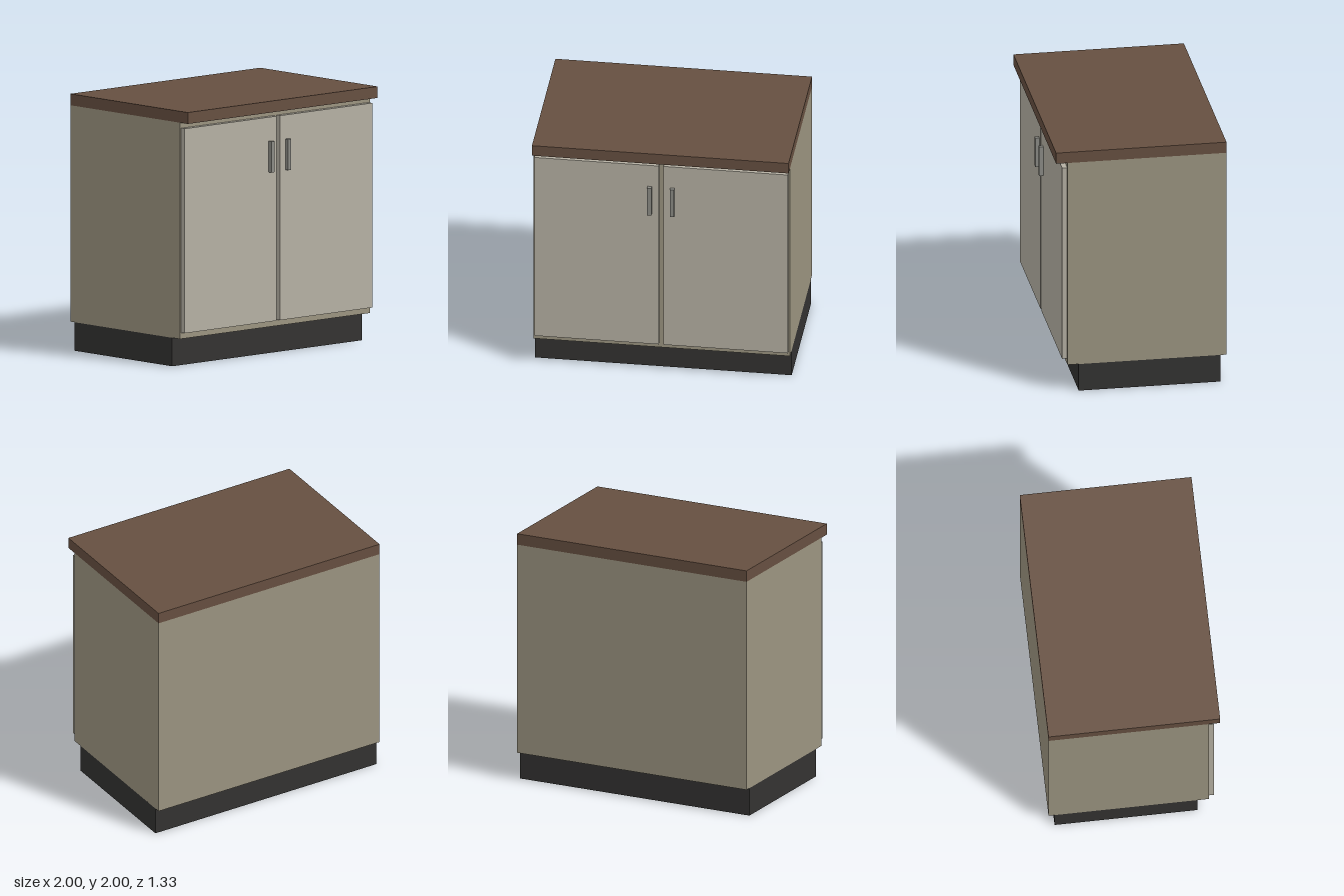
import * as THREE from 'three';

const material = (color) => new THREE.MeshStandardMaterial({ color });

// Box given by its [min, max] range on each axis
function box(name, [x0, x1], [y0, y1], [z0, z1], mat) {
  const mesh = new THREE.Mesh(new THREE.BoxGeometry(x1 - x0, y1 - y0, z1 - z0), mat);
  mesh.name = name;
  mesh.position.set((x0 + x1) / 2, (y0 + y1) / 2, (z0 + z1) / 2);
  return mesh;
}

export function createModel() {
  const group = new THREE.Group();
  group.name = 'baseCabinet';

  const wood = material(0x664f40);
  const carcass = material(0x9b9480);
  const panel = material(0xb5b0a3);
  const metal = material(0x8c8c86);
  const dark = material(0x333231);

  // Recessed plinth, carcass and overhanging worktop
  group.add(
    box('plinth', [-1, 1], [0, 0.222], [-0.62, 0.49], dark),
    box('carcass', [-1, 1], [0.222, 1.911], [-0.667, 0.578], carcass),
    box('worktop', [-1, 1], [1.911, 2], [-0.667, 0.667], wood)
  );

  // Mirrored pair of doors with bar handles near the middle
  for (const [side, s] of [['left', 1], ['right', -1]]) {
    const span = (a, b) => (s > 0 ? [a, b] : [-b, -a]);
    group.add(
      box(side + 'Door', span(0.018, 0.988), [0.27, 1.867], [0.578, 0.618], panel),
      box(side + 'Handle', span(0.072, 0.105), [1.438, 1.68], [0.618, 0.65], metal)
    );
  }
  return group;
}
